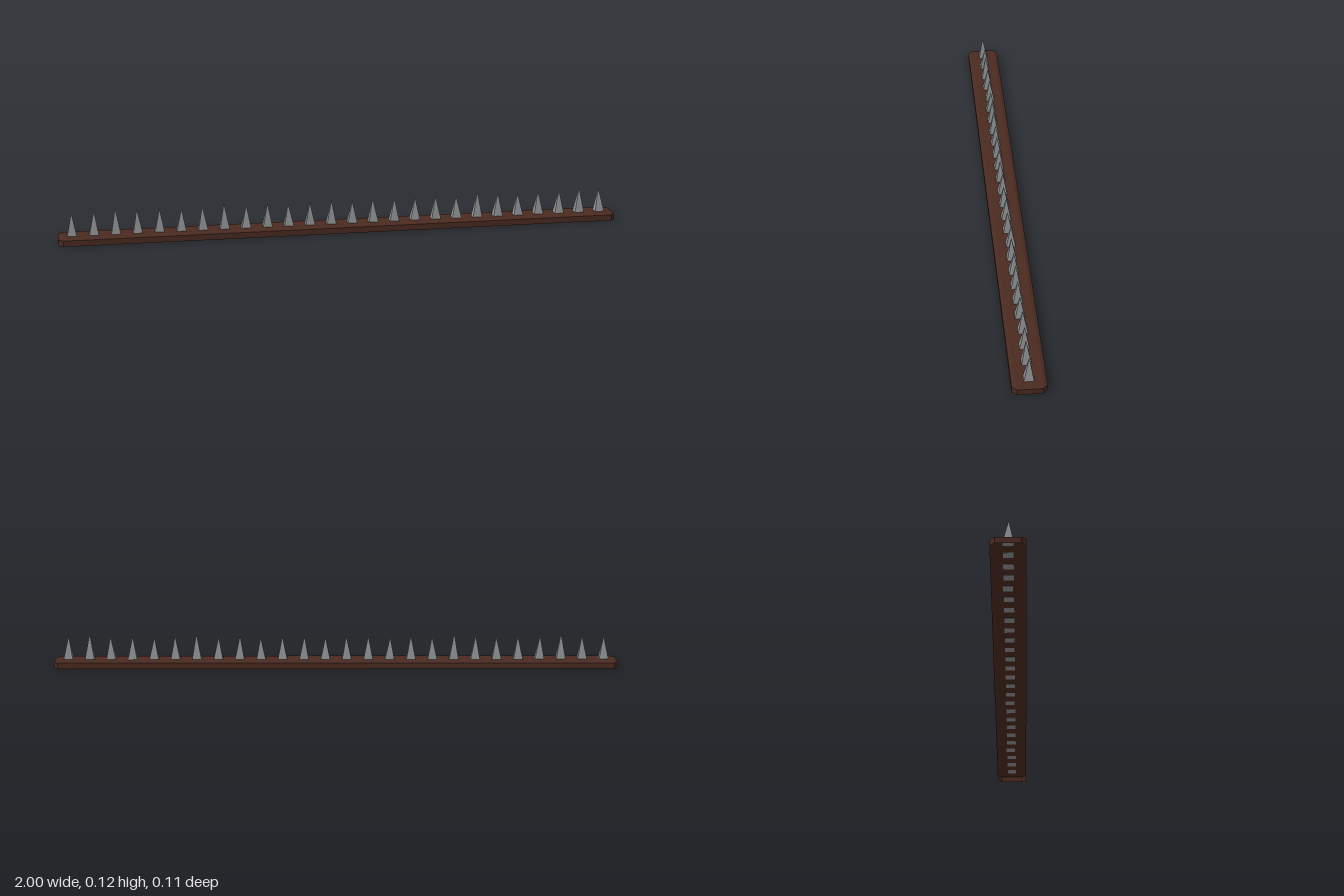
import * as THREE from 'three';

const wood = new THREE.MeshStandardMaterial({ color: 0x4a2a20, flatShading: true, side: THREE.DoubleSide });
wood.name = 'dark wood';
const steel = new THREE.MeshStandardMaterial({ color: 0x8c8f91, flatShading: true, side: THREE.DoubleSide });
steel.name = 'grey steel';

// Rectangle with clipped corners, as a ring of points at height y
function ring(halfX, halfZ, clip, y) {
  const a = halfX - clip, b = halfZ - clip;
  return [[a, halfZ], [halfX, b], [halfX, -b], [a, -halfZ],
    [-a, -halfZ], [-halfX, -b], [-halfX, b], [-a, halfZ]].map(([x, z]) => [x, y, z]);
}

// Shallow plank shell: upright sides, bevelled top edge, open underneath
function plankGeometry() {
  const rings = [ring(1, 0.057, 0.016, 0), ring(1, 0.057, 0.016, 0.021), ring(0.988, 0.045, 0.012, 0.025)];
  const pos = [];
  for (let r = 0; r < 2; r++) {
    for (let i = 0; i < 8; i++) {
      const j = (i + 1) % 8;
      const a = rings[r][i], b = rings[r][j], c = rings[r + 1][j], d = rings[r + 1][i];
      pos.push(...a, ...b, ...c, ...a, ...c, ...d);
    }
  }
  const top = rings[2];
  for (let i = 1; i < 7; i++) pos.push(...top[0], ...top[i], ...top[i + 1]);
  const geometry = new THREE.BufferGeometry();
  geometry.setAttribute('position', new THREE.Float32BufferAttribute(pos, 3));
  geometry.computeVertexNormals();
  return geometry;
}

// Square spike whose tip leans a little off centre
function spikeGeometry(height, leanX, leanZ) {
  const geometry = new THREE.ConeGeometry(0.0235, height, 4, 1);
  geometry.rotateY(Math.PI / 4);
  geometry.translate(0, height / 2, 0);
  const p = geometry.attributes.position;
  for (let i = 0; i < p.count; i++) {
    const t = p.getY(i) / height;
    p.setX(i, p.getX(i) + leanX * t);
    p.setZ(i, p.getZ(i) + leanZ * t);
  }
  geometry.computeVertexNormals();
  return geometry;
}

export function createModel() {
  const model = new THREE.Group();
  model.name = 'spikeStrip';

  const plank = new THREE.Mesh(plankGeometry(), wood);
  plank.name = 'plank';
  model.add(plank);

  // Row of spikes, a few taller than the rest
  const spikes = new THREE.Group();
  spikes.name = 'spikes';
  const count = 26;
  const tall = [2, 7, 19, 24];
  const shifted = [4, 16, 22];
  for (let i = 0; i < count; i++) {
    const height = tall.includes(i) ? 0.092 : 0.082 + 0.003 * Math.sin(i * 2.3);
    const spike = new THREE.Mesh(
      spikeGeometry(height, 0.002 * Math.sin(i * 1.7), 0.002 * Math.cos(i * 2.9)), steel);
    spike.name = 'spike';
    spike.position.set(-0.952 + (1.904 * i) / (count - 1), 0.0245, shifted.includes(i) ? -0.003 : 0);
    spikes.add(spike);
  }
  model.add(spikes);
  return model;
}
